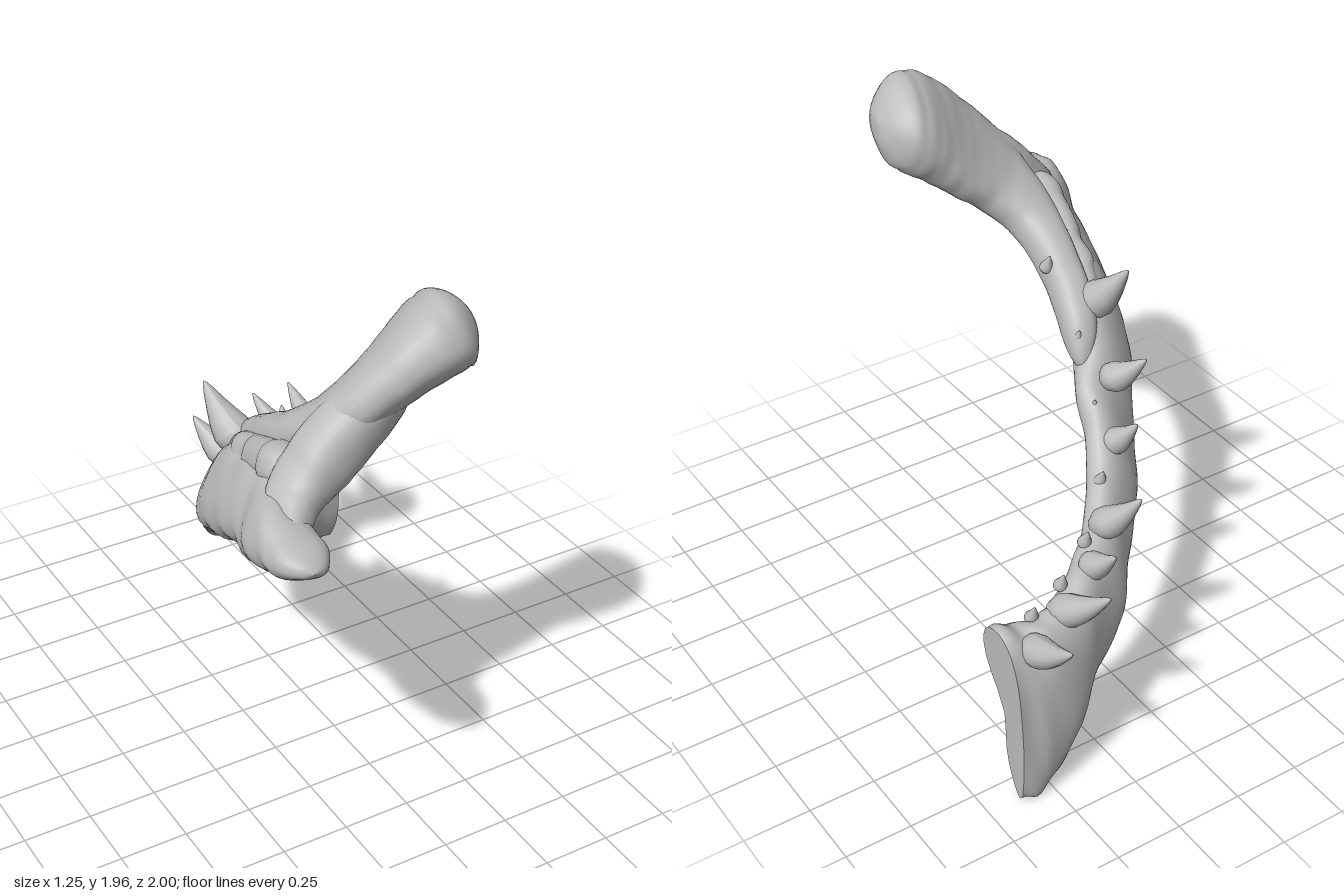
import * as THREE from 'three';

const CUT_X = 0.63;
const SIDES = 32;
const bone = new THREE.MeshStandardMaterial({ color: 0xbcbcbc });
bone.name = 'bone grey';

// Lofts rounded cross-sections. Station: centre, half-height vector, half-thickness, taper, inner hollow.
function loft(stations, { steps = 72, roundStart = 0, roundEnd = 0, bump = 0 } = {}) {
  const centre = new THREE.CatmullRomCurve3(stations.map(s => new THREE.Vector3(...s.c)));
  const height = new THREE.CatmullRomCurve3(stations.map(s => new THREE.Vector3(...s.u)));
  const extra = new THREE.CatmullRomCurve3(
    stations.map(s => new THREE.Vector3(s.w, s.taper || 0, s.hollow || 0)));
  const pos = [], index = [];
  for (let i = 0; i <= steps; i++) {
    const t = i / steps;
    let k = 1;
    if (roundStart && t < roundStart) k = Math.sqrt(1 - ((roundStart - t) / roundStart) ** 2);
    if (roundEnd && t > 1 - roundEnd) k = Math.sqrt(Math.max(0, 1 - ((t - 1 + roundEnd) / roundEnd) ** 2));
    k = Math.max(k, 0.01);
    const c = centre.getPoint(t), u = height.getPoint(t), e = extra.getPoint(t);
    const v = centre.getTangent(t).cross(u).normalize().multiplyScalar(e.x * k);
    u.multiplyScalar(k);
    for (let j = 0; j < SIDES; j++) {
      const a = j / SIDES * Math.PI * 2;
      const ca = Math.sign(Math.cos(a)) * Math.abs(Math.cos(a)) ** 0.85;
      let sa = Math.sign(Math.sin(a)) * Math.abs(Math.sin(a)) ** 0.85;
      sa *= 1 + e.y * ca;
      if (sa < 0) sa *= 1 - e.z * Math.exp(-((ca / 0.45) ** 2));
      const r = 1 + bump * (Math.sin(t * 57 + a * 2) + 0.7 * Math.sin(t * 91 - a * 3));
      const p = c.clone().addScaledVector(u, ca * r).addScaledVector(v, sa * r);
      pos.push(Math.min(p.x, CUT_X), p.y, p.z);
    }
  }
  for (let i = 0; i < steps; i++) for (let j = 0; j < SIDES; j++) {
    const a = i * SIDES + j, b = i * SIDES + (j + 1) % SIDES;
    index.push(a, b, a + SIDES, b, b + SIDES, a + SIDES);
  }
  // End caps with their own corners, so a cut end stays flat
  for (const end of [0, steps]) {
    const first = pos.length / 3;
    const mid = [0, 0, 0];
    for (let j = 0; j < SIDES; j++) for (let q = 0; q < 3; q++) {
      const value = pos[(end * SIDES + j) * 3 + q];
      pos.push(value);
      mid[q] += value / SIDES;
    }
    pos.push(...mid);
    for (let j = 0; j < SIDES; j++) {
      const a = first + j, b = first + (j + 1) % SIDES;
      if (end) index.push(a, b, first + SIDES);
      else index.push(b, a, first + SIDES);
    }
  }
  // Turn the faces outward if the enclosed volume is negative
  const P = i => new THREE.Vector3(pos[i * 3], pos[i * 3 + 1], pos[i * 3 + 2]);
  let volume = 0;
  for (let i = 0; i < index.length; i += 3)
    volume += P(index[i]).dot(P(index[i + 1]).cross(P(index[i + 2])));
  if (volume < 0) index.reverse();
  const g = new THREE.BufferGeometry();
  g.setAttribute('position', new THREE.Float32BufferAttribute(pos, 3));
  g.setIndex(index);
  g.computeVertexNormals();
  return g;
}

// Curved tooth from base to tip
function tooth(base, tip, radius) {
  const b = new THREE.Vector3(...base), t = new THREE.Vector3(...tip);
  const length = b.distanceTo(t);
  const profile = [[0.7, -0.12], [1, 0.05], [1.02, 0.2], [0.82, 0.42], [0.55, 0.65], [0.27, 0.87], [0.1, 0.97], [0, 1]];
  const g = new THREE.LatheGeometry(profile.map(([r, h]) => new THREE.Vector2(r * radius, h * length)), 16);
  const dir = t.sub(b).normalize();
  g.applyQuaternion(new THREE.Quaternion().setFromUnitVectors(new THREE.Vector3(0, 1, 0), dir));
  g.translate(...base);
  // Slight upward curl, fading out at both ends
  const p = g.attributes.position;
  for (let i = 0; i < p.count; i++) {
    const v = new THREE.Vector3().fromBufferAttribute(p, i);
    const h = THREE.MathUtils.clamp(v.clone().sub(b).dot(dir) / length, 0, 1);
    p.setY(i, v.y - 0.07 * length * Math.sin(h * Math.PI));
  }
  g.computeVertexNormals();
  return g;
}

export function createModel() {
  const model = new THREE.Group();
  model.name = 'jawHalf';
  const add = (name, geometry) => {
    const m = new THREE.Mesh(geometry, bone);
    m.name = name;
    model.add(m);
  };

  // Jaw body: upper edge, lower edge, half-thickness, taper, hollow on the inner side
  const body = [
    [[0.63, 0.65, -0.695], [0.63, 0.01, -0.86], 0.095, 0.5, 0.8],
    [[0.53, 0.635, -0.71], [0.53, 0.01, -0.86], 0.09, 0.45, 0.6],
    [[0.43, 0.63, -0.72], [0.41, 0.14, -0.83], 0.085, 0.3, 0.4],
    [[0.3, 0.66, -0.66], [0.28, 0.29, -0.74], 0.08, 0.1, 0.2],
    [[0.15, 0.71, -0.55], [0.1, 0.38, -0.63], 0.075, 0, 0.2],
    [[0.03, 0.78, -0.42], [-0.02, 0.49, -0.5], 0.07, 0, 0.3],
    [[-0.06, 0.92, -0.27], [-0.18, 0.61, -0.34], 0.068, 0, 0.4],
    [[-0.12, 1.05, -0.13], [-0.28, 0.71, -0.16], 0.075, 0, 0.4],
    [[-0.2, 1.18, 0.01], [-0.38, 0.88, 0.01], 0.09, 0, 0.35],
    [[-0.25, 1.28, 0.14], [-0.44, 0.97, 0.2], 0.095, 0, 0.35],
    [[-0.29, 1.36, 0.3], [-0.48, 1.08, 0.4], 0.09, -0.1, 0.35],
    [[-0.35, 1.4, 0.5], [-0.53, 1.15, 0.6], 0.085, -0.1, 0.3],
    [[-0.45, 1.4, 0.7], [-0.56, 1.2, 0.76], 0.095, 0, 0.1],
    [[-0.5, 1.375, 0.85], [-0.53, 1.235, 0.88], 0.1, 0, 0],
    [[-0.52, 1.36, 0.99], [-0.53, 1.27, 1.0], 0.09, 0, 0],
  ].map(([t, b, w, taper, hollow]) => ({
    c: t.map((n, i) => (n + b[i]) / 2), u: t.map((n, i) => (n - b[i]) / 2), w, taper, hollow,
  }));
  add('jawBody', loft(body, { steps: 150, roundEnd: 0.075, bump: 0.024 }));

  // Inner ridge rising along the jaw and widening into the upright blade
  add('uprightBlade', loft([
    { c: [-0.15, 1.05, -0.09], u: [-0.05, 0, 0], w: 0.05 },
    { c: [-0.205, 1.2, 0.05], u: [-0.07, 0, 0], w: 0.075 },
    { c: [-0.24, 1.31, 0.22], u: [-0.075, 0, 0.01], w: 0.08 },
    { c: [-0.25, 1.41, 0.4], u: [-0.09, 0.01, 0.05], w: 0.085 },
    { c: [-0.19, 1.53, 0.55], u: [-0.1, 0.05, 0.13], w: 0.09 },
    { c: [-0.07, 1.65, 0.61], u: [-0.09, 0.08, 0.165], w: 0.1 },
    { c: [0.04, 1.745, 0.64], u: [-0.07, 0.09, 0.18], w: 0.12 },
    { c: [0.14, 1.805, 0.645], u: [-0.05, 0.08, 0.18], w: 0.14 },
    { c: [0.245, 1.835, 0.635], u: [-0.03, 0.07, 0.165], w: 0.14 },
  ], { roundStart: 0.1, roundEnd: 0.18, bump: 0.006 }));

  // Web joining the blade to the rear joint
  add('rearWeb', loft([
    { c: [0.0, 1.7, 0.66], u: [-0.05, 0.06, 0.05], w: 0.06 },
    { c: [-0.14, 1.61, 0.66], u: [-0.06, 0.09, 0.03], w: 0.095 },
    { c: [-0.28, 1.49, 0.65], u: [-0.06, 0.1, 0], w: 0.105 },
    { c: [-0.4, 1.39, 0.67], u: [-0.05, 0.07, 0.01], w: 0.1 },
    { c: [-0.48, 1.335, 0.76], u: [-0.04, 0.05, 0], w: 0.07 },
    { c: [-0.52, 1.31, 0.84], u: [-0.02, 0.04, 0], w: 0.05 },
  ], { steps: 48, roundStart: 0.12, roundEnd: 0.12, bump: 0.006 }));

  // Soft fill in the valley between the ridge and the lower bar
  add('valleyFill', loft([
    { c: [-0.25, 1.13, 0.0], u: [-0.05, 0.03, 0], w: 0.05 },
    { c: [-0.3, 1.25, 0.16], u: [-0.06, 0.03, 0], w: 0.06 },
    { c: [-0.34, 1.32, 0.31], u: [-0.06, 0.03, 0], w: 0.065 },
    { c: [-0.36, 1.38, 0.46], u: [-0.07, 0.03, 0], w: 0.07 },
    { c: [-0.37, 1.42, 0.62], u: [-0.07, 0.03, 0], w: 0.07 },
  ], { steps: 40, roundStart: 0.2, roundEnd: 0.1 }));

  // Large outer teeth: base, tip, radius
  [
    [[0.53, 0.58, -0.78], [0.52, 0.71, -1.0], 0.056],
    [[0.37, 0.62, -0.71], [0.3, 0.77, -0.9], 0.058],
    [[0.19, 0.67, -0.62], [0.175, 0.785, -0.75], 0.05],
    [[0.07, 0.73, -0.52], [0.0, 0.89, -0.65], 0.058],
    [[-0.12, 0.87, -0.3], [-0.16, 0.99, -0.4], 0.05],
    [[-0.21, 1.03, -0.16], [-0.28, 1.15, -0.28], 0.055],
    [[-0.27, 1.22, 0.05], [-0.33, 1.4, -0.09], 0.07],
  ].forEach(([base, tip, r], i) => add(`largeTooth${i + 1}`, tooth(base, tip, r)));

  // Small inner teeth: base position
  [
    [0.47, 0.61, -0.68], [0.32, 0.645, -0.63], [0.16, 0.7, -0.54], [-0.01, 0.79, -0.385],
    [-0.11, 0.94, -0.19], [-0.15, 1.13, -0.03], [-0.17, 1.32, 0.19],
  ].forEach(([x, y, z], i) =>
    add(`smallTooth${i + 1}`, tooth([x, y, z], [x, y + 0.065, z - 0.025], 0.025)));

  // Rounded knob on the inner face
  const knob = new THREE.SphereGeometry(0.03, 16, 12);
  knob.translate(-0.11, 0.83, -0.22);
  add('innerKnob', knob);

  return model;
}
